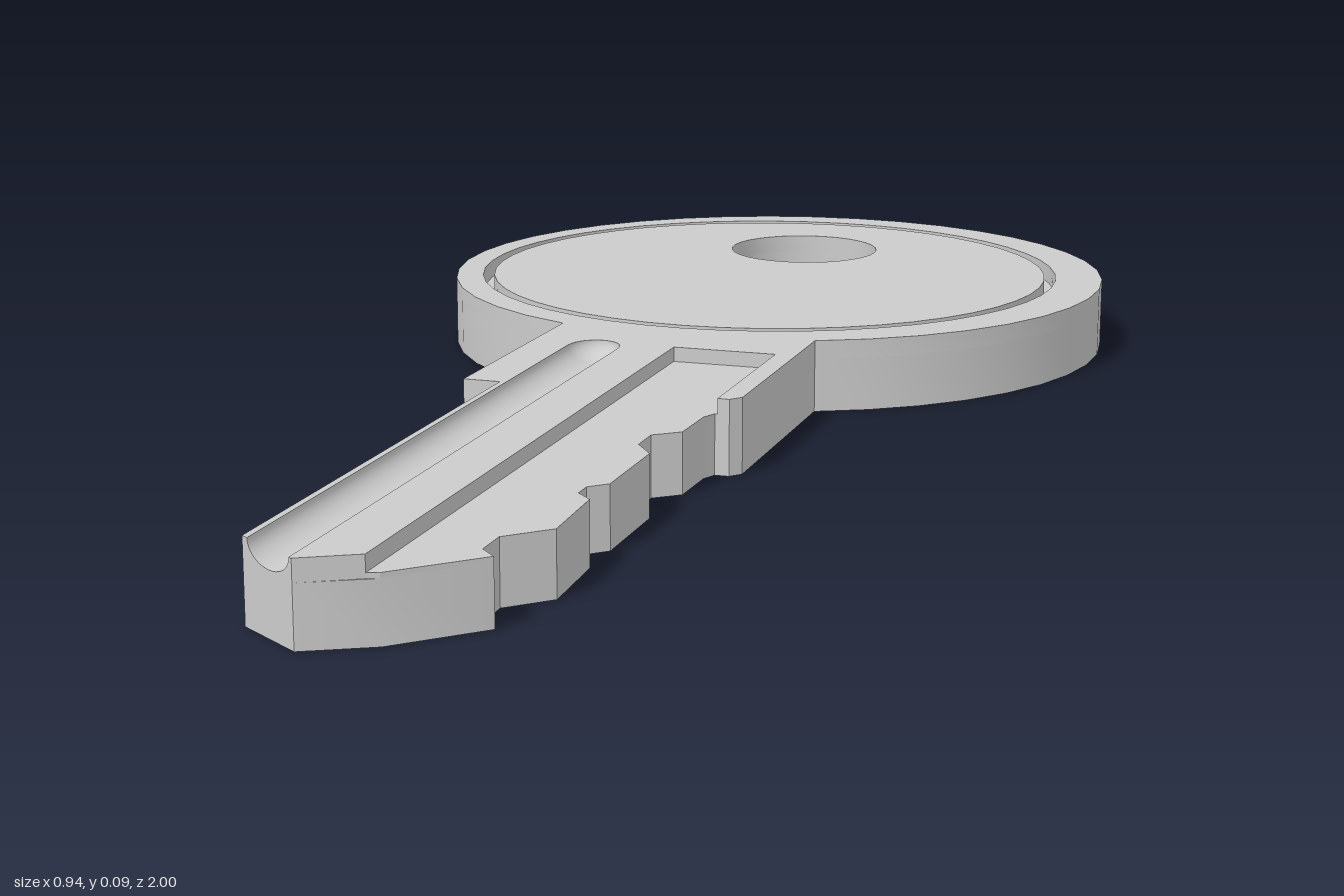
import * as THREE from 'three';
import { toCreasedNormals } from 'three/addons/utils/BufferGeometryUtils.js';
import { ParametricGeometry } from 'three/addons/geometries/ParametricGeometry.js';

const TOP = 0.095, BASE = 0.07, FLOOR = 0.076; // heights of top face, lower slab, blade recess
const HEAD = { x: 0, z: -0.53, r: 0.47 };
const RING = { x: -0.015, z: -0.532, outer: 0.418, inner: 0.402 };
const HOLE = { x: -0.012, z: -0.717, r: 0.11 };
const GROOVE = { x: -0.088, w: 0.034, depth: 0.023, z: 0.03, round: 0.04 };
const NECK = 0.175;

const material = new THREE.MeshStandardMaterial({ color: 0xcccccc });
const thinMaterial = new THREE.MeshStandardMaterial({ color: 0xcccccc, side: THREE.DoubleSide });

// Points [x, z] on an arc, angle 0 at +x and turning towards -z
function arc(cx, cz, rx, rz, from, to, n) {
  return Array.from({ length: n + 1 }, (_, i) => {
    const a = from + (to - from) * i / n;
    return [cx + rx * Math.cos(a), cz - rz * Math.sin(a)];
  });
}
const circle = (c, r, n = 48) => arc(c.x, c.z, r, r, 0, Math.PI * 2, n).slice(0, -1);
const toVectors = pts => pts.map(([x, z]) => new THREE.Vector2(x, -z));

// Flat plate with holes, lying between heights y0 and y1
function plate(name, outline, holes, y0, y1) {
  const shape = new THREE.Shape(toVectors(outline));
  holes.forEach(h => shape.holes.push(new THREE.Path(toVectors(h))));
  const geo = new THREE.ExtrudeGeometry(shape, { depth: y1 - y0, bevelEnabled: false });
  geo.rotateX(-Math.PI / 2);
  geo.translate(0, y0, 0);
  const mesh = new THREE.Mesh(toCreasedNormals(geo, 0.4), material);
  mesh.name = name;
  return mesh;
}

// Slanted end of the blade on the groove side
const tipZ = x => 0.945 + (x + 0.13) * 0.55 / 0.8;

export function createModel() {
  const key = new THREE.Group();
  key.name = 'key';

  const neckAngle = Math.acos(NECK / HEAD.r);
  const headArc = arc(HEAD.x, HEAD.z, HEAD.r, HEAD.r, -neckAngle, Math.PI + neckAngle, 36);
  const leftEdge = [[-0.178, 0.25], [-0.13, 0.25], [-0.13, 0.945]];
  const tip = [-0.05, 1];
  // Cut edge of the blade, from the tip back to the shoulder
  const teeth = [
    [0.025, 0.96], [0.11, 0.875], [0.09, 0.855], [0.09, 0.81], [0.135, 0.765],
    [0.13, 0.65], [0.11, 0.63], [0.11, 0.605], [0.13, 0.585], [0.13, 0.45],
    [0.105, 0.415], [0.105, 0.37], [0.135, 0.345], [0.137, 0.27], [0.145, 0.25],
  ];
  const shoulder = [[0.163, 0.25], [NECK, 0.235]];
  const hole = circle(HOLE, HOLE.r, 32);

  // Lower slab: the whole silhouette
  key.add(plate('lowerBody', [...headArc, ...leftEdge, tip, ...teeth, ...shoulder], [hole], 0, BASE));

  // Upper slab: leaves out the round groove, the blade recess and the head disc
  const gl = GROOVE.x - GROOVE.w, gr = GROOVE.x + GROOVE.w;
  const grooveCut = [
    [gl, tipZ(gl)],
    ...arc(GROOVE.x, GROOVE.z, GROOVE.w, GROOVE.round, Math.PI, 0, 16),
    [gr, tipZ(gr)],
  ];
  const recessCut = [[0.012, 0.965], [0.012, 0], [0.148, 0], [0.148, 0.25]];
  key.add(plate('upperBody',
    [...headArc, ...leftEdge, ...grooveCut, tip, ...recessCut, ...shoulder],
    [circle(RING, RING.outer)], BASE, TOP));

  // Disc inside the ring groove on the head
  key.add(plate('headDisc', circle(RING, RING.inner), [hole], BASE, TOP));

  // Floor of the blade recess, running out to the teeth
  key.add(plate('recessFloor',
    [[0.012, 0], [0.012, 0.965], ...teeth, [0.148, 0.25], [0.148, 0]], [], BASE, FLOOR));

  // Round-bottomed groove with a domed start
  const trough = new ParametricGeometry((u, v, p) => {
    const a = Math.PI * u;
    const phi = Math.max(0, 1 - 2 * v) * Math.PI / 2;
    const s = Math.cos(phi);
    const x = GROOVE.x - GROOVE.w * s * Math.cos(a);
    const start = GROOVE.z - GROOVE.round * Math.sin(phi);
    const z = v <= 0.5 ? start : THREE.MathUtils.lerp(GROOVE.z, tipZ(x), 2 * v - 1);
    p.set(x, TOP - GROOVE.depth * s * Math.sin(a), z);
  }, 16, 16);
  const groove = new THREE.Mesh(trough, thinMaterial);
  groove.name = 'bladeGroove';
  key.add(groove);

  // Tip face below the groove
  const face = new ParametricGeometry((u, v, p) => {
    const x = GROOVE.x - GROOVE.w * Math.cos(Math.PI * u);
    const y = TOP - GROOVE.depth * Math.sin(Math.PI * u);
    p.set(x, THREE.MathUtils.lerp(BASE, y, v), tipZ(x));
  }, 16, 1);
  const tipFace = new THREE.Mesh(face, thinMaterial);
  tipFace.name = 'grooveTipFace';
  key.add(tipFace);

  return key;
}
